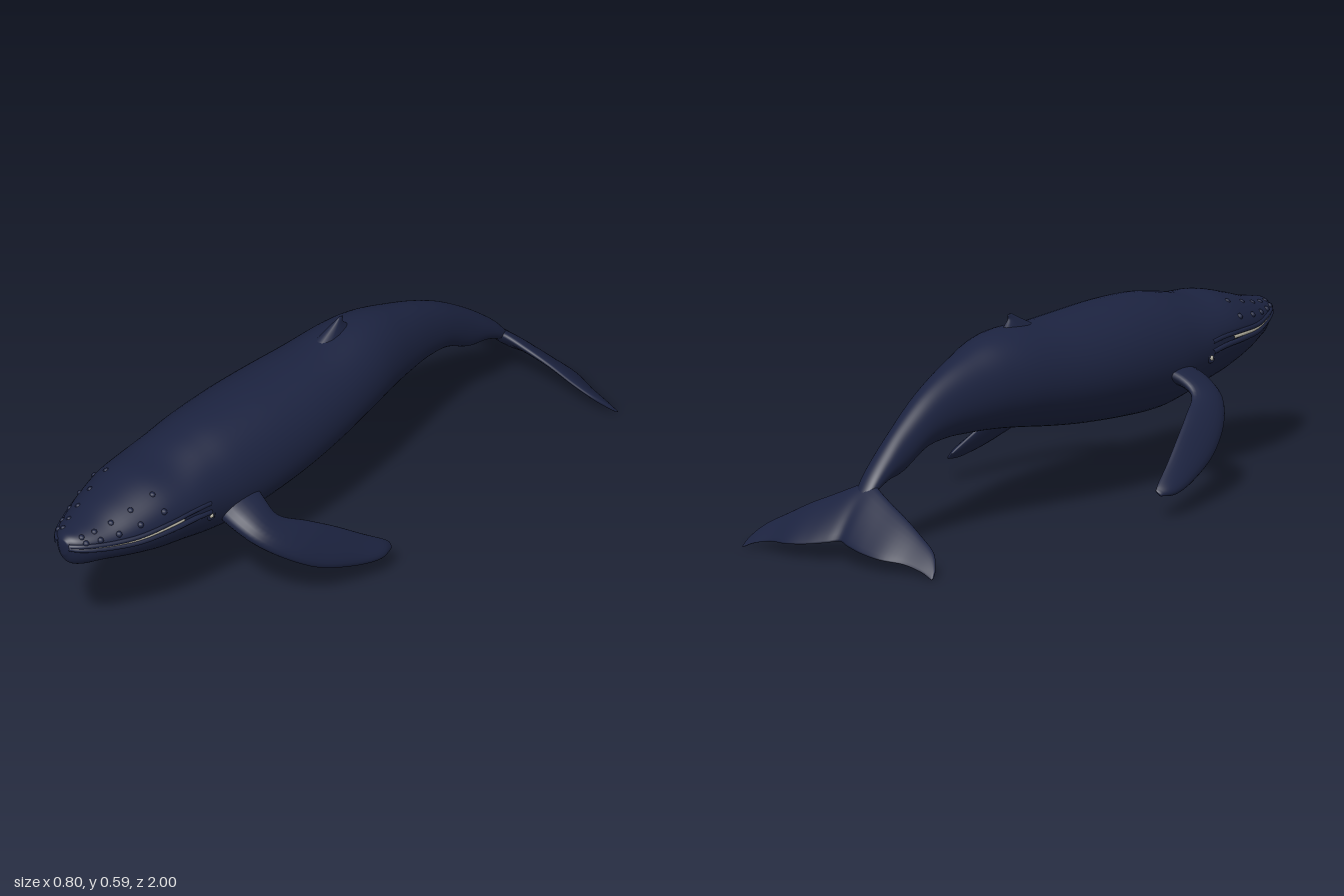
import * as THREE from 'three';

const skin = new THREE.MeshStandardMaterial({ color: 0x1c2340 });
const pale = new THREE.MeshStandardMaterial({ color: 0xb8b4a4 });
const V = (x, y, z) => new THREE.Vector3(x, y, z);

// Smooth curve through evenly parametrised stations
const through = pts => new THREE.CatmullRomCurve3(pts, false, 'catmullrom', 0.5);

// Skin closed rings of points into a capped solid, always facing outward
function loft(rings) {
  const n = rings[0].length, pos = [], idx = [];
  rings.forEach(r => r.forEach(p => pos.push(p.x, p.y, p.z)));
  for (let i = 0; i < rings.length - 1; i++)
    for (let j = 0; j < n; j++) {
      const k = (j + 1) % n, a = i * n + j, b = i * n + k, c = a + n, d = b + n;
      idx.push(a, b, c, b, d, c);
    }
  [0, rings.length - 1].forEach((i, end) => {
    const mid = rings[i].reduce((s, p) => s.add(p), V(0, 0, 0)).divideScalar(n);
    const m = pos.length / 3;
    pos.push(mid.x, mid.y, mid.z);
    for (let j = 0; j < n; j++) {
      const a = i * n + j, b = i * n + (j + 1) % n;
      if (end) idx.push(a, b, m); else idx.push(b, a, m);
    }
  });
  // The sign of the volume tells whether the winding must be turned
  const at = i => V(pos[3 * i], pos[3 * i + 1], pos[3 * i + 2]);
  let volume = 0;
  for (let i = 0; i < idx.length; i += 3)
    volume += at(idx[i]).dot(at(idx[i + 1]).cross(at(idx[i + 2])));
  if (volume < 0) idx.reverse();
  const g = new THREE.BufferGeometry();
  g.setAttribute('position', new THREE.Float32BufferAttribute(pos, 3));
  g.setIndex(idx);
  g.computeVertexNormals();
  return g;
}

// Fin from stations [leading edge, trailing edge, half thickness]
function blade(stations, steps = 36, n = 20) {
  const lead = through(stations.map(s => V(...s[0])));
  const trail = through(stations.map(s => V(...s[1])));
  const thick = through(stations.map(s => V(s[2], 0, 0)));
  const rings = [];
  for (let i = 0; i <= steps; i++) {
    const t = i / steps, L = lead.getPoint(t), T = trail.getPoint(t);
    const span = lead.getTangent(t).add(trail.getTangent(t));
    const normal = T.clone().sub(L).cross(span).normalize();
    const h = thick.getPoint(t).x;
    rings.push(Array.from({ length: n }, (_, j) => {
      const a = j / n * Math.PI * 2, u = (1 - Math.cos(a)) / 2;
      return L.clone().lerp(T, u).addScaledVector(normal, h * Math.sin(a) * (1.2 - 0.5 * u));
    }));
  }
  return loft(rings);
}

// Body stations: z, back, belly, half width, height of the widest line
const BODY = [
  [0.995, 0.418, 0.372, 0.016, 0.403], [0.975, 0.430, 0.335, 0.042, 0.402],
  [0.94, 0.437, 0.316, 0.068, 0.398], [0.88, 0.450, 0.306, 0.098, 0.390],
  [0.80, 0.475, 0.285, 0.130, 0.385], [0.70, 0.501, 0.256, 0.154, 0.388],
  [0.60, 0.509, 0.234, 0.165, 0.388], [0.50, 0.530, 0.211, 0.169, 0.375],
  [0.40, 0.545, 0.200, 0.176, 0.370], [0.25, 0.550, 0.206, 0.180, 0.372],
  [0.10, 0.547, 0.218, 0.175, 0.378], [-0.05, 0.545, 0.237, 0.160, 0.386],
  [-0.20, 0.552, 0.260, 0.138, 0.400], [-0.30, 0.542, 0.272, 0.116, 0.402],
  [-0.40, 0.511, 0.279, 0.092, 0.390], [-0.50, 0.472, 0.282, 0.071, 0.372],
  [-0.60, 0.420, 0.268, 0.056, 0.340], [-0.70, 0.350, 0.218, 0.046, 0.282],
  [-0.77, 0.292, 0.204, 0.040, 0.245], [-0.83, 0.235, 0.176, 0.033, 0.205],
  [-0.88, 0.172, 0.138, 0.022, 0.155], [-0.93, 0.108, 0.098, 0.008, 0.103],
];
const heights = through(BODY.map(b => V(b[1], b[2], b[4])));
const widths = through(BODY.map(b => V(b[0], b[3], 0)));

// Point on the body at station t and angle a (0 = left side, PI/2 = back)
function bodyPoint(t, a) {
  const h = heights.getPoint(t), w = widths.getPoint(t);
  const s = Math.sin(a);
  return V(w.y * Math.cos(a), h.z + s * (s > 0 ? h.x - h.z : h.z - h.y), w.x);
}

function bodyGeometry() {
  const steps = 110, n = 56, rings = [];
  for (let i = 0; i <= steps; i++) {
    const t = i / steps;
    rings.push(Array.from({ length: n }, (_, j) => {
      const p = bodyPoint(t, j / n * Math.PI * 2);
      // Groove between the jaws
      if (j % (n / 2) === 0 && p.z > 0.6) p.x *= 0.95;
      return p;
    }));
  }
  return loft(rings);
}

// Tube following the side of the head at a fixed angle
function headLine(side, t0, t1, angle, inset, radius) {
  const pts = Array.from({ length: 16 }, (_, i) => {
    const p = bodyPoint(t0 + (t1 - t0) * i / 15, angle);
    p.x *= side * inset;
    return p;
  });
  return new THREE.TubeGeometry(new THREE.CatmullRomCurve3(pts), 48, radius, 8);
}

export function createModel() {
  const whale = new THREE.Group();
  whale.name = 'whale';
  const add = (name, geometry, material = skin) => {
    const mesh = new THREE.Mesh(geometry, material);
    mesh.name = name;
    whale.add(mesh);
    return mesh;
  };

  add('body', bodyGeometry());

  // Small hooked fin on the back
  add('dorsalFin', blade([
    [[0, 0.525, -0.04], [0, 0.525, -0.235], 0.034],
    [[0, 0.553, -0.10], [0, 0.553, -0.205], 0.020],
    [[0, 0.574, -0.145], [0, 0.572, -0.188], 0.010],
    [[0, 0.588, -0.172], [0, 0.586, -0.190], 0.003],
  ], 16, 16));

  // Tail flukes, one blade from tip to tip
  const half = [
    [[0.040, 0.198, -0.835], [0.040, 0.058, -0.980], 0.017],
    [[0.100, 0.170, -0.855], [0.100, 0.048, -0.994], 0.014],
    [[0.170, 0.138, -0.874], [0.170, 0.040, -0.998], 0.012],
    [[0.240, 0.100, -0.893], [0.240, 0.034, -0.980], 0.010],
    [[0.300, 0.066, -0.915], [0.300, 0.020, -0.976], 0.008],
    [[0.333, 0.031, -0.948], [0.333, 0.006, -0.978], 0.005],
    [[0.343, 0.008, -0.970], [0.342, 0.003, -0.979], 0.002],
  ];
  const flip = ([[a, ...l], [b, ...r], h]) => [[-a, ...l], [-b, ...r], h];
  const root = [[0, 0.215, -0.815], [0, 0.065, -0.966], 0.020];
  add('tailFlukes', blade([...half.map(flip).reverse(), root, ...half], 70));

  // Flippers sweeping down and back
  const flipper = [
    [[0.120, 0.315, 0.490], [0.120, 0.355, 0.330], 0.034],
    [[0.200, 0.285, 0.486], [0.195, 0.325, 0.355], 0.030],
    [[0.268, 0.247, 0.460], [0.245, 0.288, 0.350], 0.026],
    [[0.320, 0.192, 0.395], [0.285, 0.247, 0.270], 0.023],
    [[0.357, 0.132, 0.300], [0.318, 0.197, 0.185], 0.021],
    [[0.383, 0.088, 0.180], [0.345, 0.143, 0.105], 0.018],
    [[0.397, 0.069, 0.085], [0.362, 0.104, 0.045], 0.014],
    [[0.386, 0.071, 0.028], [0.370, 0.086, 0.022], 0.004],
  ];

  for (const [side, label] of [[1, 'left'], [-1, 'right']]) {
    add(label + 'Flipper', blade(side > 0 ? flipper : flipper.map(flip)));

    // Mouth: pale baleen between two soft lips
    add(label + 'Baleen', headLine(side, 0.04, 0.26, 0, 0.975, 0.0055), pale);
    add(label + 'UpperLip', headLine(side, 0.01, 0.31, 0.10, 0.985, 0.007));
    add(label + 'LowerLip', headLine(side, 0.01, 0.31, -0.10, 0.995, 0.008));

    // Eye behind the corner of the mouth
    const eye = add(label + 'Eye', new THREE.SphereGeometry(0.008, 16, 12), pale);
    eye.position.copy(bodyPoint(0.312, -0.2));
    eye.position.x *= side * 0.985;
    const lid = add(label + 'Eyelid', new THREE.TorusGeometry(0.011, 0.005, 8, 20));
    lid.position.copy(eye.position);
    lid.rotation.y = Math.PI / 2;

    // Rows of low knobs on the upper jaw
    for (let row = 0; row < 2; row++)
      for (let i = 0; i < 5; i++) {
        const knob = add(label + 'HeadKnob', new THREE.SphereGeometry(0.010, 10, 8));
        knob.position.copy(bodyPoint(0.08 + i * 0.038, 0.5 + row * 0.45));
        knob.position.x *= side;
        knob.position.y -= 0.006;
      }
  }
  return whale;
}
